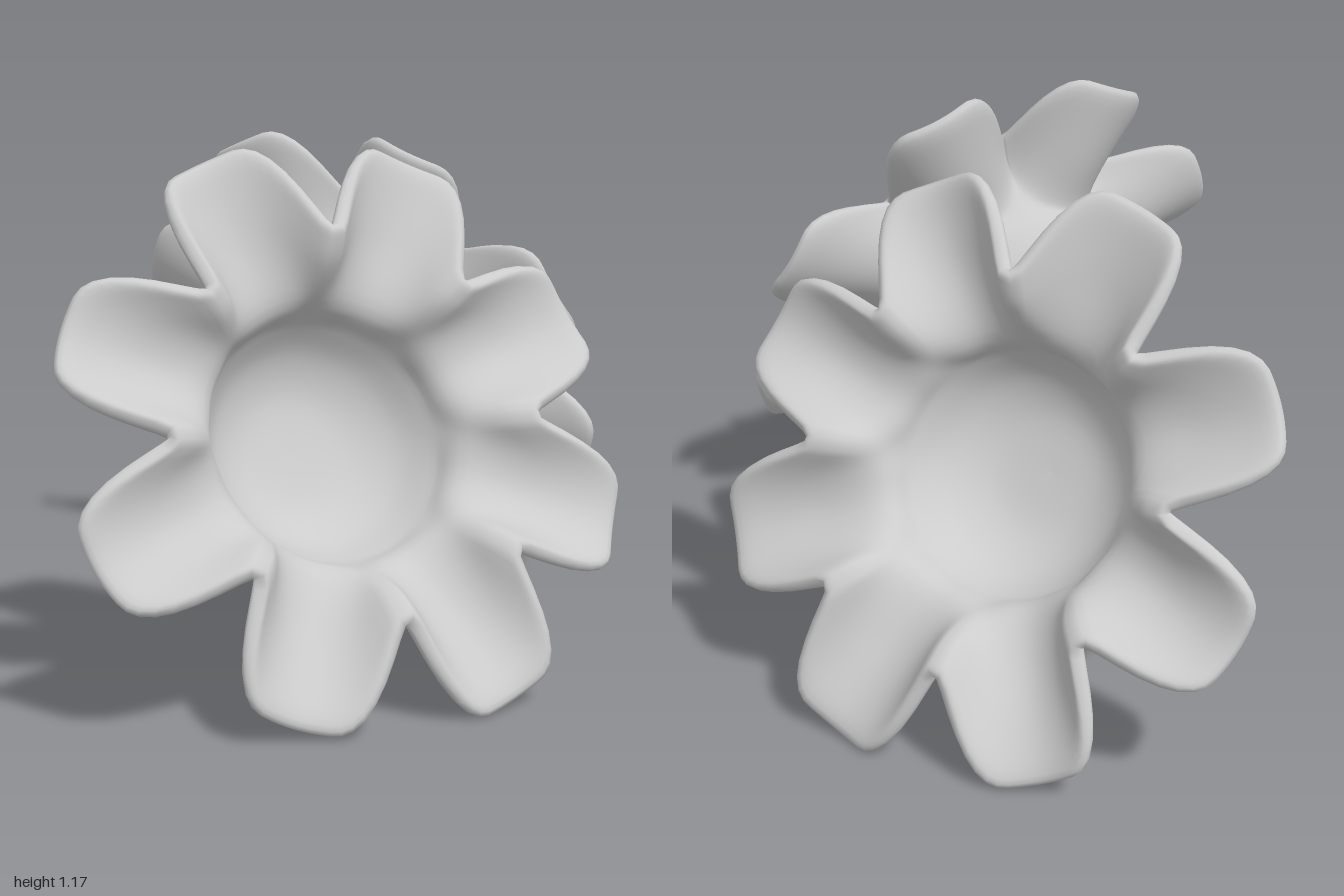
import * as THREE from 'three';

const PETALS = 8, AROUND = 192, STEPS = 34, HALF_THICKNESS = 0.018;

// Middle surface of the flower: a deep round cup flaring into ruffled petals.
// The local axis is +z, a is the angle and t runs from the cup centre to the rim.
function profileAt(a) {
  const c = Math.abs(Math.cos((a + 0.042) * PETALS / 2)); // 1 mid petal, 0 in a notch
  const rim = 0.435 + 0.23 * THREE.MathUtils.smoothstep(c, 0, 0.9);
  const fold = 1 - Math.pow(c, 1.5); // petals are channels, the notches stand proud
  const warp = 0.022 * Math.cos(2 * (a - 1.17)); // slight saddle of the whole rim
  return new THREE.SplineCurve([
    [0, -0.26], [0.13, -0.25], [0.225, -0.2], [0.285, -0.12],
    [0.322, -0.055 + 0.025 * fold],
    [THREE.MathUtils.lerp(0.322, rim, 0.45), -0.03 + 0.075 * fold + warp / 2],
    [rim, 0.08 * fold + warp],
  ].map(([r, h]) => new THREE.Vector2(r, h)));
}

// The cup leans sideways, most at its bottom
function surfacePoint(curve, a, t) {
  const p = curve.getPoint(t), lean = 0.045 * (1 - t);
  return new THREE.Vector3(p.x * Math.cos(a) - 0.5 * lean, p.x * Math.sin(a) + 0.87 * lean, p.y);
}

// Closed shell: inner skin from centre to rim, then outer skin back to the centre
function flowerGeometry(frame, mirrored) {
  const positions = [], index = [], rows = 2 * STEPS + 1, e = 0.004;
  for (let i = 0; i < AROUND; i++) {
    const a = (i / AROUND) * Math.PI * 2;
    const here = profileAt(a), before = profileAt(a - e), after = profileAt(a + e);
    for (let j = 0; j < rows; j++) {
      const s = 1 - Math.abs(j - STEPS) / STEPS;
      const t = 1 - Math.pow(1 - s, 1.35); // finer steps toward the rim
      const p = surfacePoint(here, a, t);
      const n = new THREE.Vector3(0, 0, 1);
      if (t > 0.01) {
        const along = surfacePoint(here, a, Math.min(1, t + e)).sub(surfacePoint(here, a, t - e));
        const across = surfacePoint(after, a + e, t).sub(surfacePoint(before, a - e, t));
        n.crossVectors(along, across).normalize();
      }
      // rounded edge
      const k = Math.max(0, (t - 0.94) / 0.06);
      const w = HALF_THICKNESS * Math.sqrt(Math.max(0, 1 - k * k));
      p.addScaledVector(n, j < STEPS ? w : -w).applyMatrix4(frame);
      positions.push(p.x, p.y, mirrored ? -p.z : p.z);
    }
  }
  for (let i = 0; i < AROUND; i++) {
    for (let j = 0; j < rows - 1; j++) {
      const a = i * rows + j, b = ((i + 1) % AROUND) * rows + j;
      if (mirrored) index.push(a, b, a + 1, b, b + 1, a + 1);
      else index.push(a, a + 1, b, b, a + 1, b + 1);
    }
  }
  const g = new THREE.BufferGeometry();
  g.setAttribute('position', new THREE.Float32BufferAttribute(positions, 3));
  g.setIndex(index);
  g.computeVertexNormals();
  return g;
}

export function createModel() {
  const group = new THREE.Group();
  group.name = 'flowerPair';
  const material = new THREE.MeshStandardMaterial({ color: 0xcccccc, side: THREE.DoubleSide });

  // Each flower opens outward, upward and to the left
  const axis = new THREE.Vector3(0.436, 0.433, 0.786).normalize();
  const v = new THREE.Vector3().crossVectors(axis, new THREE.Vector3(0.718, 0.359, -0.596)).normalize();
  const u = new THREE.Vector3().crossVectors(v, axis);
  const frame = new THREE.Matrix4().makeBasis(u, v, axis).setPosition(0.005, 0.575, 0.588);

  // Front flower and its mirror image behind
  for (const mirrored of [false, true]) {
    const flower = new THREE.Mesh(flowerGeometry(frame, mirrored), material);
    flower.name = mirrored ? 'backFlower' : 'frontFlower';
    group.add(flower);
  }
  return group;
}
